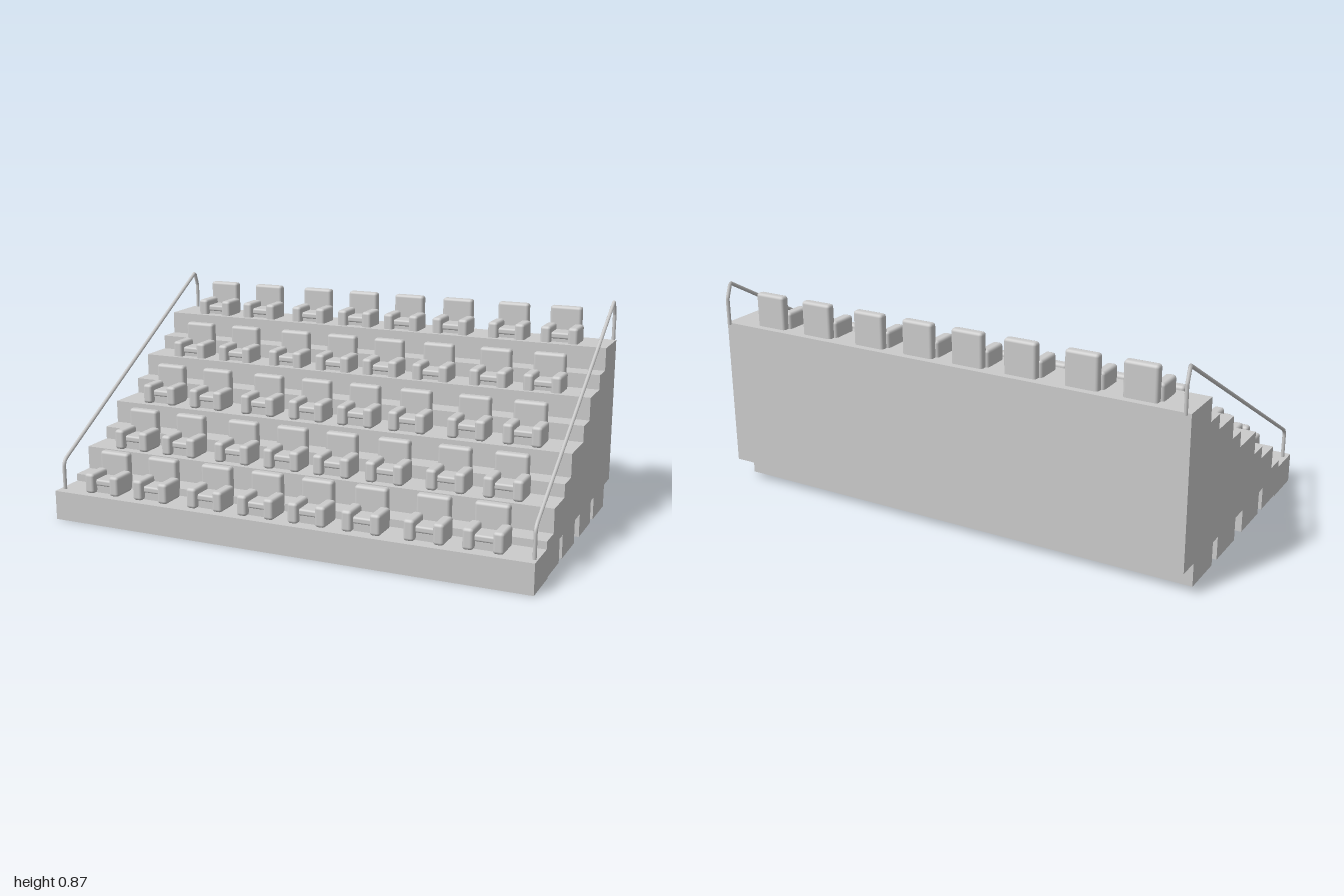
import * as THREE from 'three';
import { RoundedBoxGeometry } from 'three/addons/geometries/RoundedBoxGeometry.js';

const material = new THREE.MeshStandardMaterial({ color: 0xcccccc });
const railMaterial = new THREE.MeshStandardMaterial({ color: 0xcccccc, side: THREE.DoubleSide });

function part(name, geometry, x = 0, y = 0, z = 0) {
  const mesh = new THREE.Mesh(geometry, material);
  mesh.name = name;
  mesh.position.set(x, y, z);
  return mesh;
}

// Stepped side profile as [z, y], extruded across the full width
function createStand() {
  const profile = [
    [0.578, 0], [0.578, 0.12], [0.427, 0.12], [0.427, 0.15], [0.337, 0.15], [0.337, 0.245],
    [0.2, 0.245], [0.2, 0.297], [0.111, 0.297], [0.111, 0.39], [-0.06, 0.39], [-0.06, 0.455],
    [-0.148, 0.455], [-0.148, 0.546], [-0.294, 0.546], [-0.294, 0.605], [-0.38, 0.605], [-0.38, 0.698],
    [-0.564, 0.698], [-0.564, 0.1],
  ];
  // Feet with open channels between them
  for (const [back, front] of [[-0.473, -0.29], [-0.241, -0.06], [0.018, 0.2]]) {
    profile.push([back, 0.1], [back, 0.006], [front, 0.006], [front, 0.1]);
  }
  profile.push([0.244, 0.1], [0.244, 0.006], [0.396, 0.006], [0.396, 0]);
  const shape = new THREE.Shape(profile.map(([z, y]) => new THREE.Vector2(-z, y)));
  const geometry = new THREE.ExtrudeGeometry(shape, { depth: 2, bevelEnabled: false });
  geometry.rotateY(Math.PI / 2).translate(-1, 0, 0);
  return part('steppedStand', geometry);
}

// Shared armchair geometries
const armGeometry = new RoundedBoxGeometry(0.042, 0.082, 0.111, 2, 0.012);
const backGeometry = new RoundedBoxGeometry(0.132, 0.152, 0.038, 2, 0.012);
const cushionGeometry = new RoundedBoxGeometry(0.086, 0.026, 0.095, 2, 0.008);
const baseGeometry = new THREE.BoxGeometry(0.086, 0.034, 0.088);

// Armchair with its arm fronts at z = 0 and its floor at y = 0
function createChair() {
  const chair = new THREE.Group();
  chair.name = 'chair';
  chair.add(
    part('backrest', backGeometry, 0, 0.075, -0.118),
    part('cushion', cushionGeometry, 0, 0.042, -0.068),
    part('seatBase', baseGeometry, 0, 0.016, -0.07),
    part('leftArm', armGeometry, 0.057, 0.04, -0.0555),
    part('rightArm', armGeometry, -0.057, 0.04, -0.0555),
  );
  return chair;
}

// Handrail: front post, rounded bend, long slope, back post
function createRail(name, x) {
  const v = (z, y) => new THREE.Vector3(x, y, z);
  const path = new THREE.CurvePath();
  path.add(new THREE.LineCurve3(v(0.538, 0.11), v(0.538, 0.215)));
  path.add(new THREE.QuadraticBezierCurve3(v(0.538, 0.215), v(0.538, 0.238), v(0.515, 0.251)));
  path.add(new THREE.LineCurve3(v(0.515, 0.251), v(-0.546, 0.86)));
  path.add(new THREE.LineCurve3(v(-0.546, 0.86), v(-0.568, 0.8)));
  path.add(new THREE.LineCurve3(v(-0.568, 0.8), v(-0.568, 0.692)));
  const mesh = new THREE.Mesh(new THREE.TubeGeometry(path, 160, 0.0075, 8), railMaterial);
  mesh.name = name;
  return mesh;
}

export function createModel() {
  const model = new THREE.Group();
  model.name = 'grandstand';
  model.add(createStand());

  // Five rows of eight chairs: [floor y, arm front z]
  const rows = [[0.12, 0.55], [0.246, 0.325], [0.391, 0.096], [0.531, -0.164], [0.682, -0.399]];
  const columns = [-0.798, -0.573, -0.328, -0.107, 0.109, 0.33, 0.576, 0.8];
  rows.forEach(([y, z], i) => {
    const row = new THREE.Group();
    row.name = `seatRow${i + 1}`;
    for (const x of columns) {
      const chair = createChair();
      chair.position.set(x, y, z);
      row.add(chair);
    }
    model.add(row);
  });

  model.add(createRail('leftHandrail', 0.987), createRail('rightHandrail', -0.98));
  return model;
}
